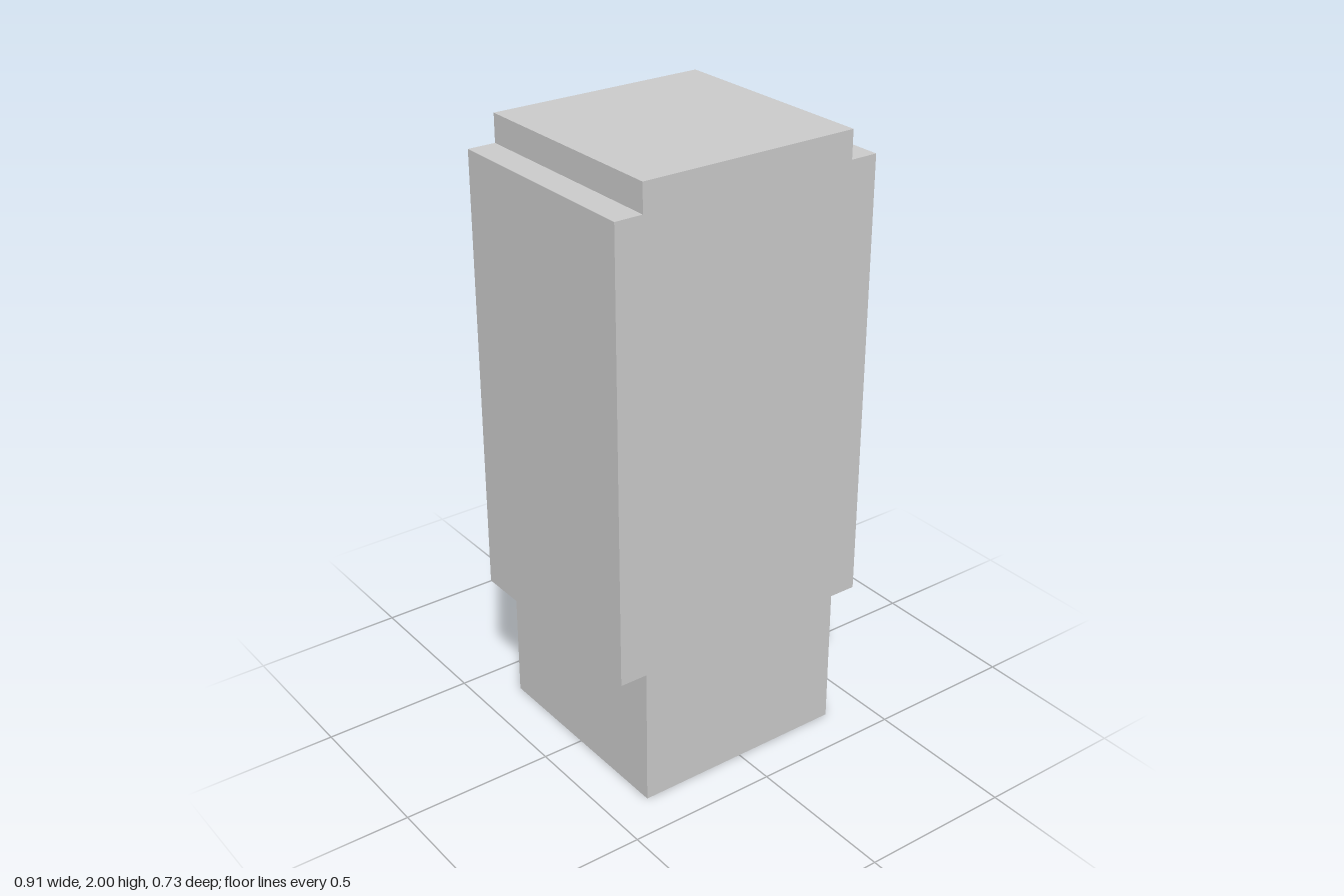
import * as THREE from 'three';

export function createModel() {
  const group = new THREE.Group();
  group.name = 'steppedBlock';

  const core = 0.363;   // half width of the core, also half the depth
  const wide = 0.454;   // half width across the side slabs
  const bottom = 0.46, top = 1.91, height = 2; // slab underside, slab top, full height

  // Right half of the outline from bottom to top, mirrored for the left half
  const half = [
    [core, 0], [core, bottom], [wide, bottom],
    [wide, top], [core, top], [core, height],
  ];
  const mirrored = half.map(([x, y]) => [-x, y]).reverse();
  const outline = new THREE.Shape([...half, ...mirrored].map(([x, y]) => new THREE.Vector2(x, y)));

  // Core and side slabs as one solid, centred in depth
  const geometry = new THREE.ExtrudeGeometry(outline, { depth: core * 2, bevelEnabled: false });
  geometry.translate(0, 0, -core);

  const body = new THREE.Mesh(
    geometry,
    new THREE.MeshStandardMaterial({ color: 0xcccccc, flatShading: true }),
  );
  body.name = 'body';
  group.add(body);
  return group;
}
